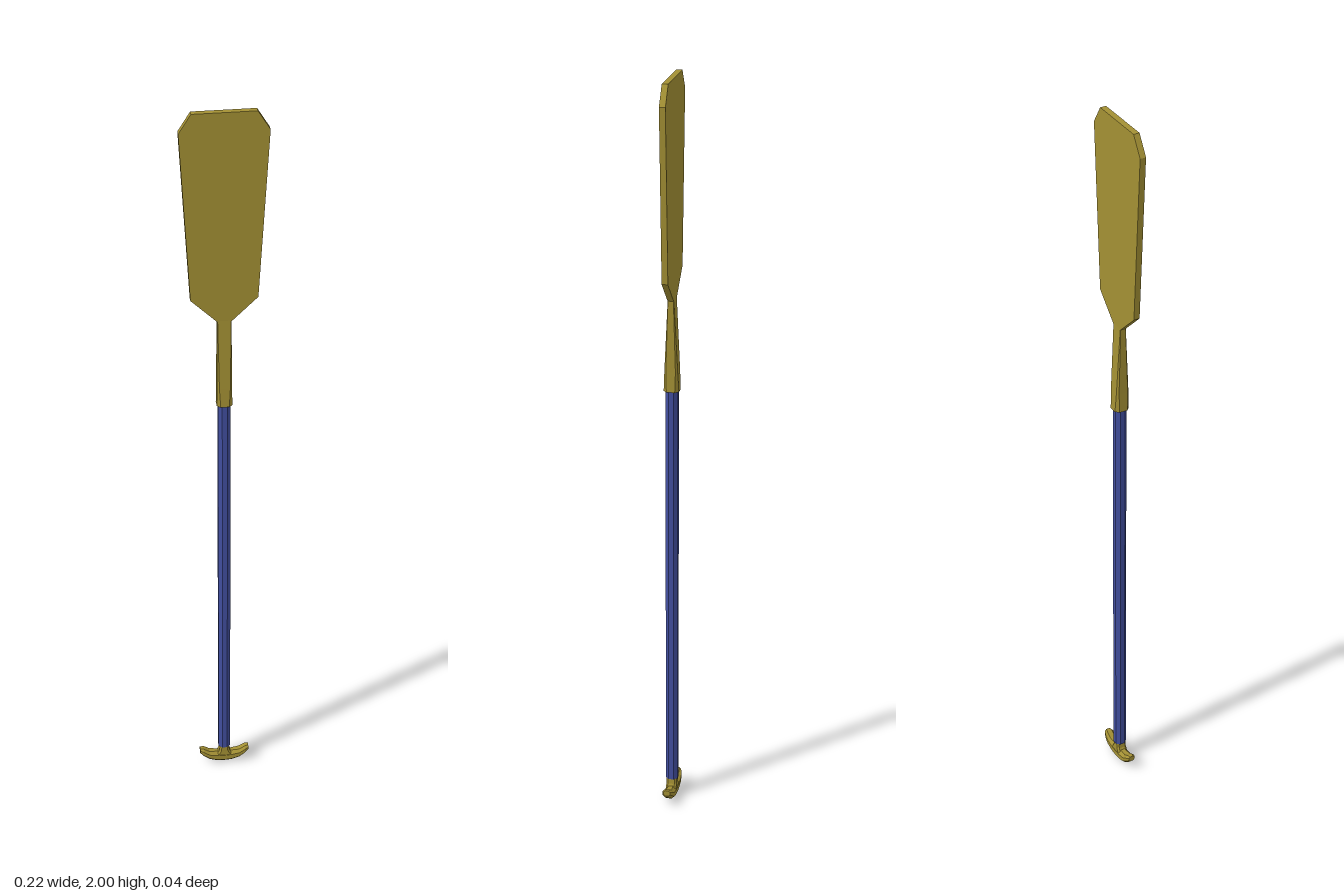
import * as THREE from 'three';

// Skin of flat faces over closed rings of points, with capped ends
function loft(rings) {
  const pos = [];
  const tri = (a, b, c) => pos.push(...a, ...b, ...c);
  const n = rings[0].length;
  for (let i = 0; i < rings.length - 1; i++) {
    const a = rings[i], b = rings[i + 1];
    for (let j = 0; j < n; j++) {
      const k = (j + 1) % n;
      tri(a[j], b[j], b[k]);
      tri(a[j], b[k], a[k]);
    }
  }
  const first = rings[0], last = rings[rings.length - 1];
  for (let j = 1; j < n - 1; j++) {
    tri(first[0], first[j], first[j + 1]);
    tri(last[0], last[j + 1], last[j]);
  }
  const g = new THREE.BufferGeometry();
  g.setAttribute('position', new THREE.Float32BufferAttribute(pos, 3));
  g.computeVertexNormals();
  return g;
}

// Rectangle with cut corners, counter-clockwise
function cutRect(w, h, c) {
  return [[w, -h + c], [w, h - c], [w - c, h], [c - w, h],
    [-w, h - c], [-w, c - h], [c - w, -h], [w - c, -h]];
}

export function createModel() {
  const model = new THREE.Group();
  const wood = new THREE.MeshStandardMaterial({ color: 0xa39034, flatShading: true });
  wood.name = 'oliveYellow';
  const blue = new THREE.MeshStandardMaterial({ color: 0x414e9e, flatShading: true });
  blue.name = 'shaftBlue';

  const add = (name, geometry, material) => {
    const mesh = new THREE.Mesh(geometry, material);
    mesh.name = name;
    model.add(mesh);
    return mesh;
  };

  // Flat blade with clipped corners
  const half = [[0.018, 1.43], [0.085, 1.495], [0.111, 1.95], [0.08, 2]];
  const outline = [...half, ...half.map(([x, y]) => [-x, y]).reverse()];
  const bladeShape = new THREE.Shape(outline.map(([x, y]) => new THREE.Vector2(x, y)));
  const blade = new THREE.ExtrudeGeometry(bladeShape, { depth: 0.016, bevelEnabled: false });
  add('blade', blade.translate(0, 0, -0.008), wood);

  // Neck, thinning from the shaft socket to the blade: y, half width, half depth, corner cut
  const neck = [[1.185, 0.02, 0.02, 0.009], [1.24, 0.019, 0.0175, 0.005], [1.432, 0.018, 0.008, 0.001]];
  add('neck', loft(neck.map(([y, w, d, c]) => cutRect(w, d, c).map(([x, z]) => [x, y, z]))), wood);

  // Eight-sided shaft
  const shaft = new THREE.CylinderGeometry(0.0175, 0.0175, 1.14, 8);
  add('shaft', shaft.rotateY(Math.PI / 8).translate(0, 0.625, 0), blue);

  // Curved grip: x, centre height, half height, half depth
  const side = [[0.02, 0.018, 0.0165, 0.015], [0.042, 0.0235, 0.0135, 0.015],
    [0.058, 0.034, 0.0125, 0.014], [0.068, 0.0395, 0.008, 0.009]];
  const grip = [...side.map(([x, ...r]) => [-x, ...r]).reverse(), [0, 0.017, 0.017, 0.015], ...side];
  add('grip', loft(grip.map(([x, y, h, d]) =>
    cutRect(h, d, h * 0.55).map(([v, z]) => [x, y + v, z]).reverse())), wood);

  // Flared stem joining grip and shaft
  const stem = [[0.022, 0.024, 0.0145], [0.04, 0.014, 0.014], [0.065, 0.012, 0.014]];
  add('gripStem', loft(stem.map(([y, w, d]) =>
    cutRect(w, d, 0.005).map(([x, z]) => [x, y, z]))), wood);

  return model;
}
